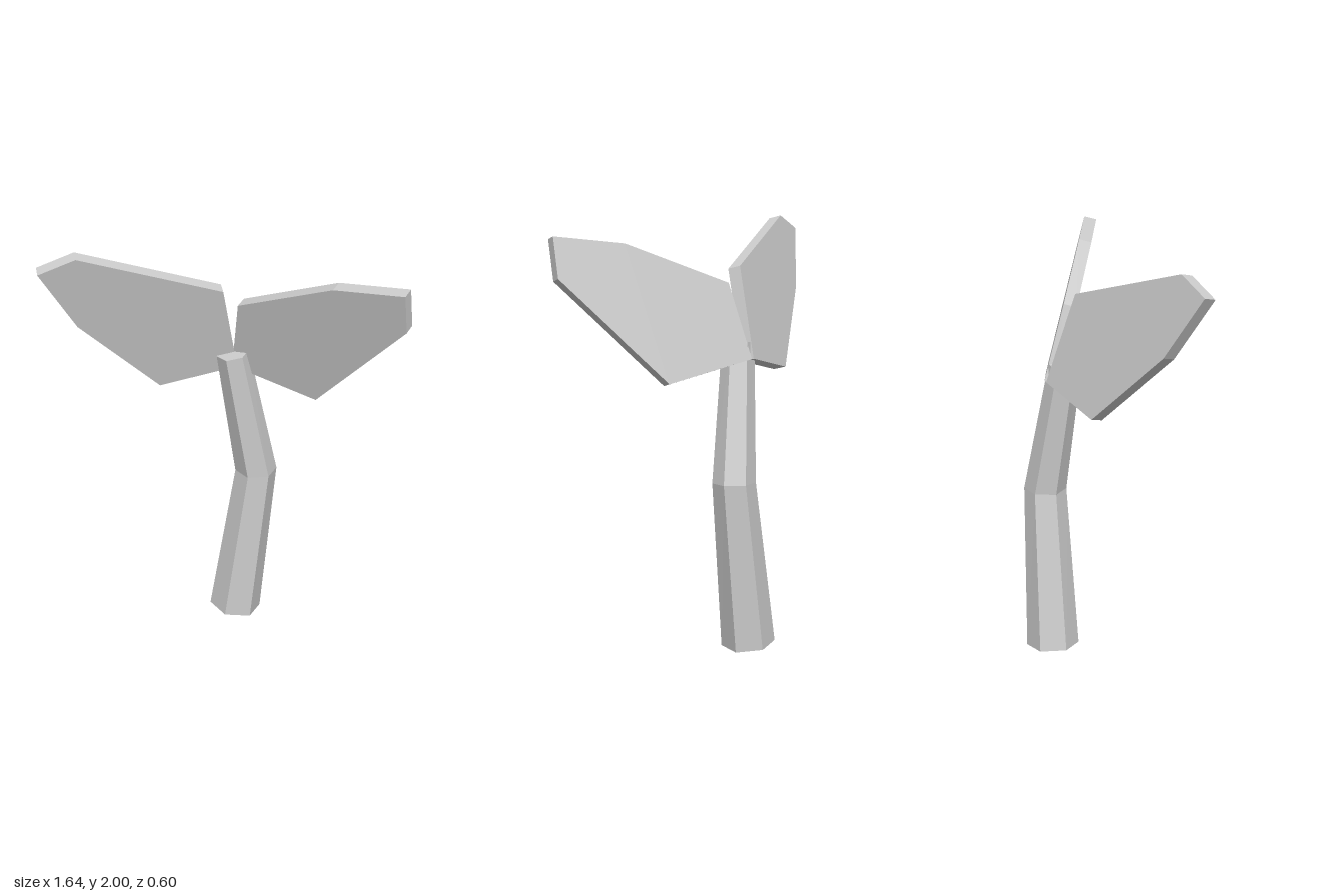
import * as THREE from 'three';

// Solid from cross-section rings, each counter-clockwise seen from the last ring's end.
function loft(rings) {
  const pos = [];
  const tri = (...pts) => pts.forEach((p) => pos.push(...p));
  const n = rings[0].length;
  for (let r = 0; r < rings.length - 1; r++) {
    const a = rings[r], b = rings[r + 1];
    for (let i = 0; i < n; i++) {
      const j = (i + 1) % n;
      tri(a[i], a[j], b[j]);
      tri(a[i], b[j], b[i]);
    }
  }
  // end caps
  const first = rings[0], last = rings[rings.length - 1];
  for (let i = 1; i < n - 1; i++) {
    tri(first[0], first[i + 1], first[i]);
    tri(last[0], last[i], last[i + 1]);
  }
  const geo = new THREE.BufferGeometry();
  geo.setAttribute('position', new THREE.Float32BufferAttribute(pos, 3));
  geo.computeVertexNormals();
  return geo;
}

// Hexagonal stem section, tilted by slopes in x and z
function stemRing([cx, cy, cz, radius, slopeX, slopeZ]) {
  return Array.from({ length: 6 }, (_, i) => {
    const a = (i * Math.PI) / 3 + THREE.MathUtils.degToRad(15);
    const dx = radius * Math.cos(a), dz = -radius * Math.sin(a);
    return [cx + dx, cy + slopeX * dx + slopeZ * dz, cz + dz];
  });
}

// Flat leaf slab: outline in x (outwards) and y, lying on a slanted plane
function leafGeometry(outline, side) {
  const back = outline.map(([x, y]) =>
    [side * x, y, -0.206 + 0.364 * x + 0.264 * (y - 1.365)]);
  if (side > 0) back.reverse();
  const front = back.map(([x, y, z]) => [x - side * 0.02, y - 0.0145, z + 0.055]);
  return loft([back, front]);
}

export function createModel() {
  const group = new THREE.Group();
  const grey = new THREE.MeshStandardMaterial({ color: 0xcccccc, flatShading: true });
  grey.name = 'plain grey';

  const add = (name, geometry) => {
    const mesh = new THREE.Mesh(geometry, grey);
    mesh.name = name;
    group.add(mesh);
  };

  // bent, tapering stem
  add('stem', loft([
    [-0.006, 0.02, -0.178, 0.125, -0.13, 0],
    [0.095, 0.8, -0.18, 0.1, 0.01, -0.03],
    [-0.008, 1.433, -0.11, 0.075, 0.16, -0.11],
  ].map(stemRing)));

  // two leaves, from the inner tip up and around the outer edge
  add('leftLeaf', leafGeometry([
    [0.003, 1.365], [0.045, 1.71], [0.49, 1.894],
    [0.805, 1.93], [0.817, 1.748], [0.41, 1.276],
  ], 1));
  add('rightLeaf', leafGeometry([
    [0.013, 1.365], [0.057, 1.782], [0.658, 2.0],
    [0.82, 1.935], [0.685, 1.652], [0.36, 1.291],
  ], -1));

  return group;
}
